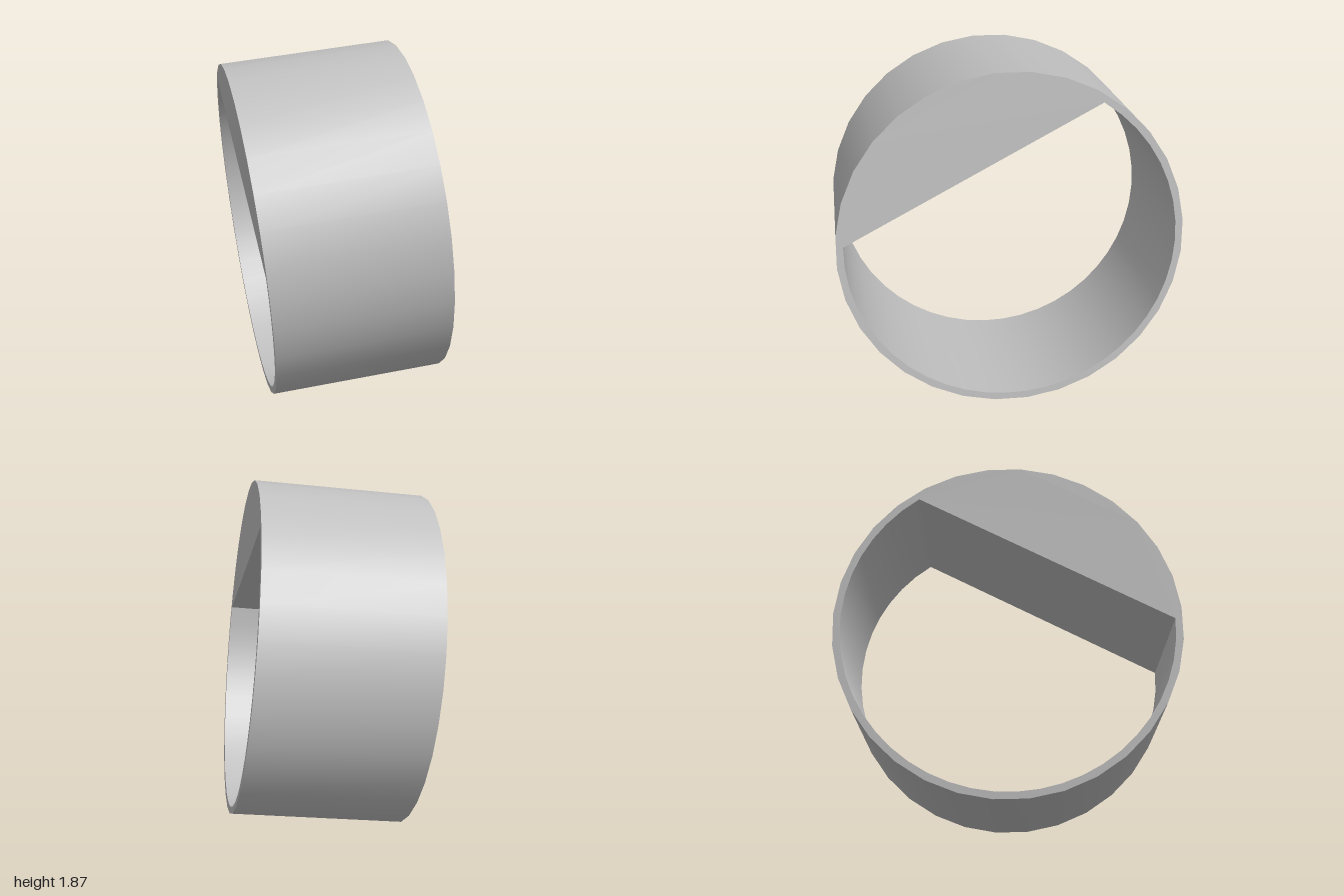
import * as THREE from 'three';
import { toCreasedNormals } from 'three/addons/utils/BufferGeometryUtils.js';

export function createModel() {
  const outerRadius = 0.893, innerRadius = 0.854, flatHeight = 0.425, length = 0.9;
  const grey = new THREE.MeshStandardMaterial({ color: 0xc0c0c0 });
  grey.name = 'grey';

  // Round collar profile with a D-shaped bore
  const profile = new THREE.Shape();
  profile.absarc(0, 0, outerRadius, 0, Math.PI * 2, false);
  const a = Math.asin(flatHeight / innerRadius);
  const bore = new THREE.Path();
  bore.absarc(0, 0, innerRadius, Math.PI - a, Math.PI * 2 + a, false);
  profile.holes.push(bore);

  const geometry = new THREE.ExtrudeGeometry(profile, {
    depth: length, bevelEnabled: false, curveSegments: 16,
  });
  geometry.translate(0, 0, -length / 2);
  const collar = new THREE.Mesh(toCreasedNormals(geometry, 0.5), grey);
  collar.name = 'collar';

  // Tilt: bore axis and the direction the flat faces away from
  const axis = new THREE.Vector3(-0.878, -0.106, 0.467).normalize();
  const side = new THREE.Vector3(0.13, 0.886, 0.446).cross(axis).normalize();
  const up = axis.clone().cross(side);
  collar.quaternion.setFromRotationMatrix(new THREE.Matrix4().makeBasis(side, up, axis));
  collar.position.y = 0.937;

  const model = new THREE.Group();
  model.name = 'flattedCollar';
  model.add(collar);
  return model;
}
